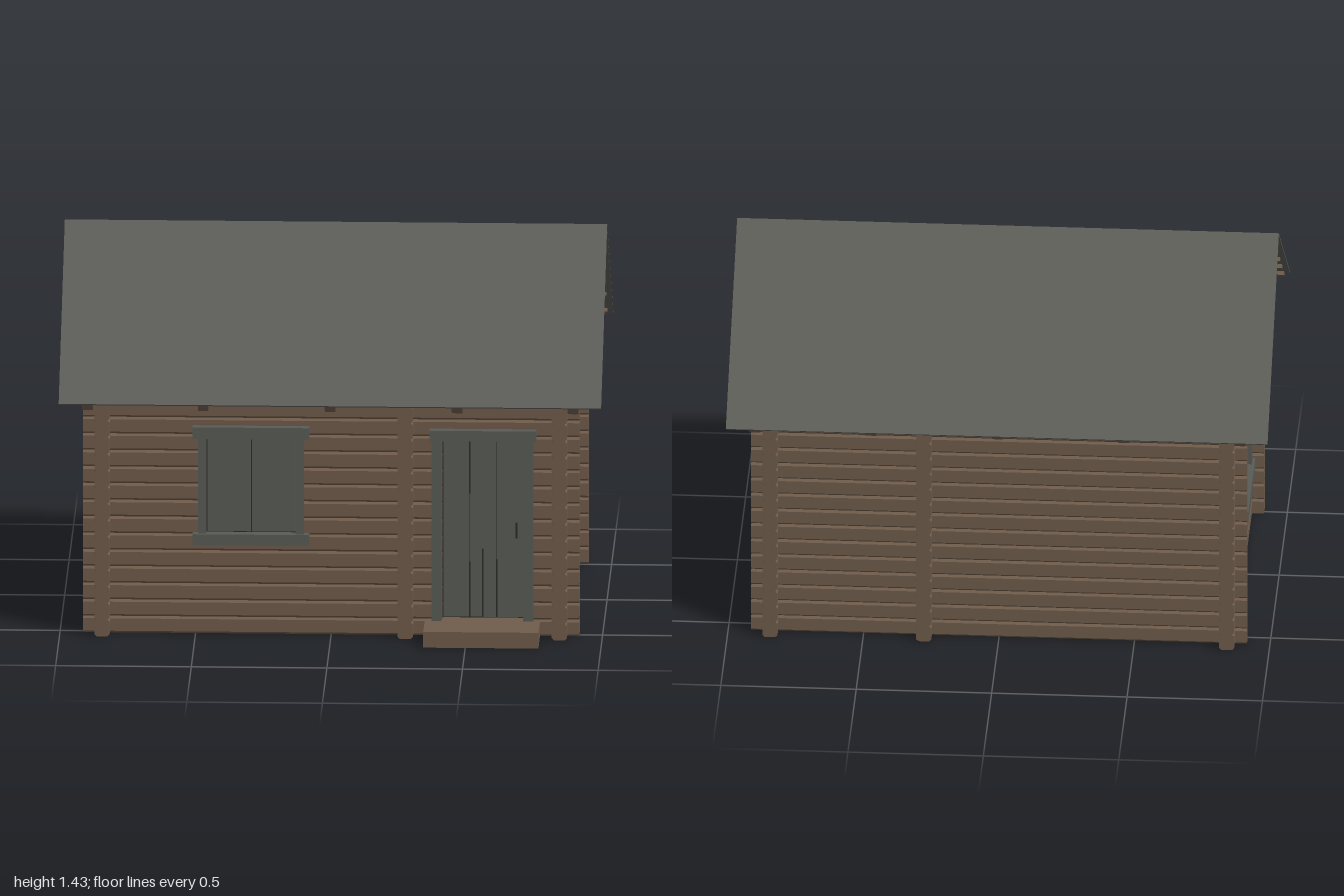
import * as THREE from 'three';
import { mergeGeometries } from 'three/addons/utils/BufferGeometryUtils.js';

const material = (name, color) => new THREE.MeshStandardMaterial({ name, color });

const LOG_H = 0.0633, LOG_T = 0.056, ROWS = 15;
const RIDGE_Y = 1.43, RIDGE_Z = -0.015, RISE = 0.52, RUN = 0.685;
const SLOPE = RISE / RUN, PITCH = Math.atan2(RISE, RUN), SLOPE_LEN = Math.hypot(RISE, RUN);

// Grooved log running along z from a to b, bottom at height y
function logGeometry(a, b, y) {
  const t = LOG_T / 2, h = LOG_H, g = 0.008;
  const profile = new THREE.Shape([
    [-t + g, 0], [t - g, 0], [t, g], [t, h - g], [t - g, h], [-t + g, h], [-t, h - g], [-t, g],
  ].map(([u, v]) => new THREE.Vector2(u, v)));
  return new THREE.ExtrudeGeometry(profile, { depth: b - a, bevelEnabled: false }).translate(0, y, a);
}

// Stack of logs along z; an opening {a, b, first, last} splits the rows it covers
function wallGeometry(a, b, rows, opening) {
  const logs = [];
  for (let i = 0; i < rows; i++) {
    const cut = opening && i >= opening.first && i <= opening.last;
    const spans = cut ? [[a, opening.a], [opening.b, b]] : [[a, b]];
    for (const [p, q] of spans) logs.push(logGeometry(p, q, i * LOG_H));
  }
  return mergeGeometries(logs);
}

// Trim log ends to the underside of the rafters
function trimToRoof(geometry) {
  const p = geometry.attributes.position;
  for (let i = 0; i < p.count; i++) {
    const reach = Math.max(0.004, (RIDGE_Y - 0.068 - p.getY(i)) / SLOPE);
    const dz = p.getZ(i) - RIDGE_Z;
    p.setZ(i, RIDGE_Z + THREE.MathUtils.clamp(dz, -reach, reach));
  }
  geometry.computeVertexNormals();
  return geometry;
}

export function createModel() {
  const wood = material('brown timber', 0x705c4c);
  const roofing = material('grey roofing', 0x5d5e58);
  const painted = material('weathered grey paint', 0x595b56);
  const dark = material('dark gap', 0x2b2b28);
  const model = new THREE.Group();
  model.name = 'logCabin';

  const add = (parent, name, geometry, mat) => {
    const mesh = new THREE.Mesh(geometry, mat);
    mesh.name = name;
    parent.add(mesh);
    return mesh;
  };
  // Box given by its limits on each axis
  const box = (parent, name, mat, x0, x1, y0, y1, z0, z1) => {
    const mesh = add(parent, name, new THREE.BoxGeometry(x1 - x0, y1 - y0, z1 - z0), mat);
    mesh.position.set((x0 + x1) / 2, (y0 + y1) / 2, (z0 + z1) / 2);
    return mesh;
  };

  // Front wall is assembled from three bays so it can hold both openings
  const windowHole = { a: -0.46, b: -0.13, first: 6, last: 11 };
  const doorHole = { a: 0.41, b: 0.71, first: 1, last: 11 };
  const alongX = (name, z, geometry) => {
    const mesh = add(model, name, geometry.rotateY(Math.PI / 2), wood);
    mesh.position.z = z;
  };
  alongX('frontWallWindowBay', 0.5, wallGeometry(-0.915, 0.25, ROWS, windowHole));
  alongX('frontWallDoorBay', 0.5, wallGeometry(0.25, 0.915, ROWS, doorHole));
  alongX('backWall', -0.53, wallGeometry(-0.915, 0.915, ROWS));

  // Gable walls and partition, with log ends crossing the long walls
  const sideHole = { a: -0.195, b: 0.135, first: 6, last: 11 };
  const gableRows = 21;
  add(model, 'leftGableWall', trimToRoof(wallGeometry(-0.605, 0.58, gableRows)), wood).position.x = 0.843;
  add(model, 'rightGableWall', trimToRoof(wallGeometry(-0.605, 0.58, gableRows, sideHole)), wood).position.x = -0.843;
  add(model, 'partitionWall', trimToRoof(wallGeometry(-0.605, 0.58, ROWS)), wood).position.x = 0.275;

  // Floor
  box(model, 'floor', painted, -0.82, 0.82, 0.05, 0.062, -0.505, 0.475);

  // Window, facing +z with the wall face at z = 0
  const makeWindow = (name) => {
    const w = new THREE.Group();
    w.name = name;
    box(w, 'windowHeader', painted, -0.215, 0.215, 0.75, 0.795, -0.01, 0.03);
    box(w, 'windowSill', painted, -0.215, 0.215, 0.345, 0.387, -0.01, 0.03);
    for (const s of [-1, 1]) {
      const jamb = box(w, 'windowJamb', painted, 0.165, 0.195, 0.385, 0.752, -0.04, 0.02);
      jamb.position.x *= s;
      const pane = box(w, 'windowPane', painted, 0.002, 0.162, 0.388, 0.75, -0.03, -0.015);
      pane.position.x *= s;
    }
    box(w, 'windowBacking', dark, -0.166, 0.166, 0.38, 0.76, -0.04, -0.032);
    model.add(w);
    return w;
  };
  makeWindow('frontWindow').position.set(-0.295, 0, 0.528);
  const sideWindow = makeWindow('sideWindow');
  sideWindow.position.set(-0.871, 0, -0.03);
  sideWindow.rotation.y = -Math.PI / 2;

  // Door: planks on a dark backing, surrounded by trim
  const door = new THREE.Group();
  door.name = 'door';
  model.add(door);
  box(door, 'doorBacking', dark, 0.405, 0.715, 0.062, 0.76, 0.49, 0.5);
  for (let i = 0; i < 3; i++) {
    box(door, 'doorPlank', painted, 0.413 + i * 0.099, 0.51 + i * 0.099, 0.07, 0.75, 0.5, 0.515);
  }
  for (const [x, y0, y1] of [[0.511, 0.54, 0.74], [0.511, 0.07, 0.28], [0.558, 0.07, 0.33], [0.61, 0.07, 0.29], [0.683, 0.37, 0.43]]) {
    box(door, 'doorCrack', dark, x - 0.003, x + 0.003, y0, y1, 0.514, 0.517);
  }
  box(door, 'doorHeader', painted, 0.363, 0.757, 0.75, 0.79, 0.52, 0.56);
  for (const x of [0.37, 0.708]) box(door, 'doorJamb', painted, x, x + 0.038, 0.062, 0.752, 0.49, 0.55);

  // Entrance step of two planks
  box(model, 'stepInner', wood, 0.345, 0.77, 0, 0.058, 0.53, 0.648);
  box(model, 'stepOuter', wood, 0.345, 0.77, 0, 0.06, 0.651, 0.7);

  // Roof slopes, each built in a frame with +z running down from the ridge
  for (const side of ['front', 'back']) {
    const turn = new THREE.Group();
    turn.name = side + 'RoofSlope';
    turn.position.set(0, RIDGE_Y, RIDGE_Z);
    turn.rotation.y = side === 'front' ? 0 : Math.PI;
    model.add(turn);
    const slope = new THREE.Group();
    slope.name = 'slopeFrame';
    slope.rotation.x = PITCH;
    turn.add(slope);
    box(slope, 'roofSheet', roofing, -1, 1, -0.006, 0, 0, SLOPE_LEN);
    for (let i = 0; i < 6; i++) {
      const z = 0.03 + i * 0.155;
      box(slope, 'batten', wood, -0.98, 0.98, -0.02, -0.006, z, z + 0.03);
    }
    for (const x of [-0.895, -0.468, 0, 0.468, 0.895]) {
      box(slope, 'rafter', wood, x - 0.02, x + 0.02, -0.055, -0.02, 0.03, 0.845);
    }
    for (const z of [0.28, 0.598]) {
      box(slope, 'purlin', wood, -0.95, 0.95, -0.1, -0.04, z - 0.03, z + 0.03);
    }
  }
  box(model, 'ridgeBeam', wood, -0.95, 0.95, 1.345, 1.405, RIDGE_Z - 0.022, RIDGE_Z + 0.022);

  return model;
}
